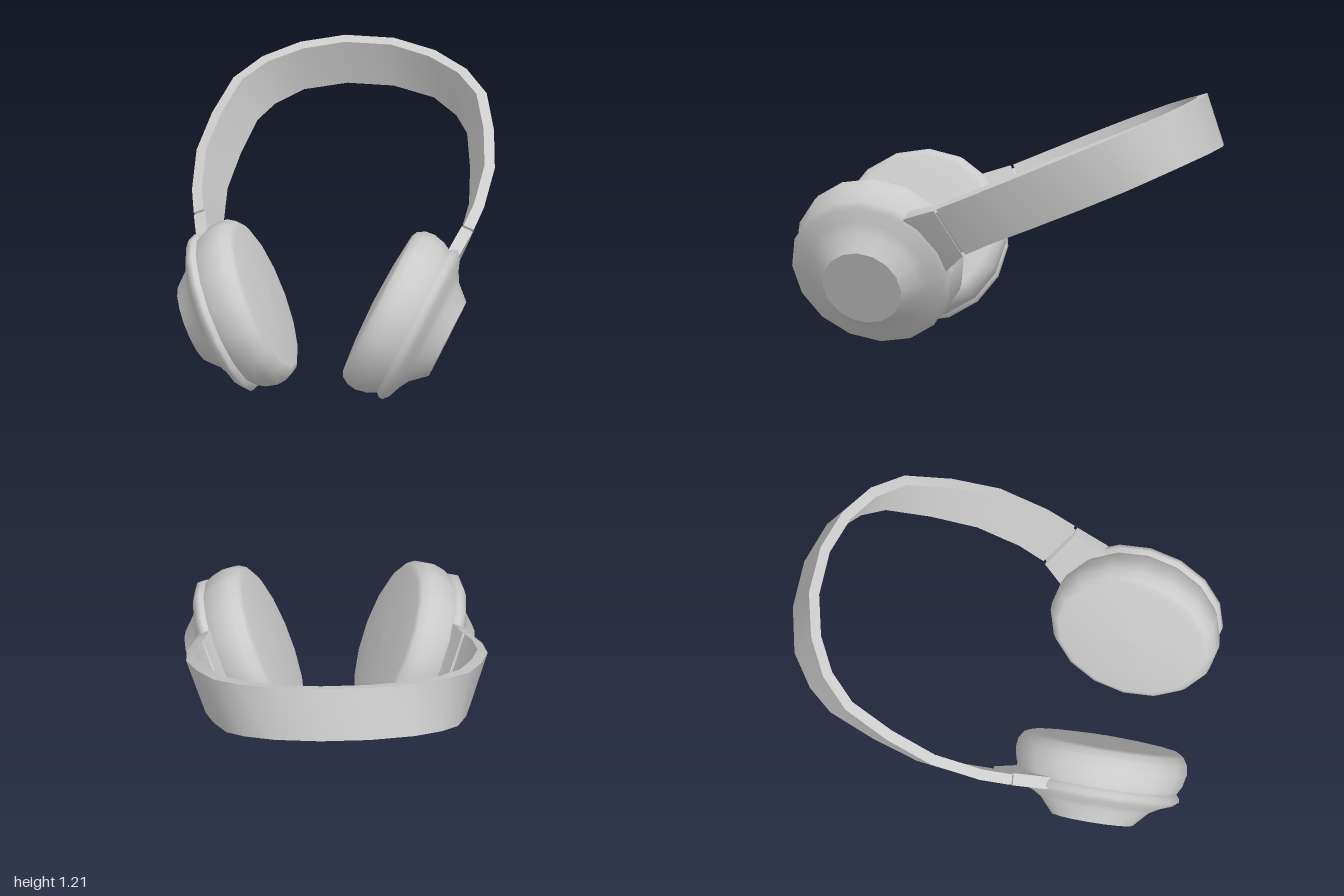
import * as THREE from 'three';
import { toCreasedNormals } from 'three/addons/utils/BufferGeometryUtils.js';

const material = new THREE.MeshStandardMaterial({ color: 0xcccccc });
const V = (p) => new THREE.Vector3(...p);

function add(parent, name, geometry) {
  const mesh = new THREE.Mesh(geometry, material);
  mesh.name = name;
  parent.add(mesh);
  return mesh;
}

// Four-cornered sections joined into a closed strap with sharp long edges
function loft(sections) {
  const pos = [];
  const tri = (...pts) => pts.forEach((p) => pos.push(p.x, p.y, p.z));
  for (let i = 0; i < sections.length - 1; i++) {
    const a = sections[i], b = sections[i + 1];
    for (let j = 0; j < 4; j++) {
      const k = (j + 1) % 4;
      tri(a[j], a[k], b[k]);
      tri(a[j], b[k], b[j]);
    }
  }
  const s = sections[0], e = sections[sections.length - 1];
  tri(s[0], s[2], s[1]); tri(s[0], s[3], s[2]);
  tri(e[0], e[1], e[2]); tri(e[0], e[2], e[3]);
  const g = new THREE.BufferGeometry();
  g.setAttribute('position', new THREE.Float32BufferAttribute(pos, 3));
  return toCreasedNormals(g, 0.65);
}

// Give outer upper/lower edge points a thickness towards the inside
function thicken(upper, lower, depth) {
  const last = upper.length - 1;
  return upper.map((u, i) => {
    const lo = lower[i];
    const p = Math.max(i - 1, 0), q = Math.min(i + 1, last);
    const travel = upper[q].clone().add(lower[q]).sub(upper[p]).sub(lower[p]);
    const inward = u.clone().sub(lo).cross(travel).normalize().multiplyScalar(depth);
    return [u, lo, lo.clone().add(inward), u.clone().add(inward)];
  });
}

const flip = (p) => new THREE.Vector3(-p.x, p.y, p.z);
const mirrored = (sections) => sections.map((s) => s.map(flip)).reverse();

// Section shrunk about its centre, used for the recessed joint
function shrink(section, k) {
  const c = new THREE.Vector3();
  section.forEach((p) => c.addScaledVector(p, 0.25));
  return section.map((p) => c.clone().lerp(p, k));
}

export function createModel() {
  const model = new THREE.Group();
  model.name = 'headphones';

  // Headband: outer edges of one half, from the side joint to the back
  const halfUpper = [
    [0.685, 0.72, 0.21], [0.715, 0.78, 0.07], [0.73, 0.885, -0.17], [0.69, 0.985, -0.4],
    [0.62, 1.08, -0.62], [0.5, 1.14, -0.76], [0.33, 1.185, -0.86], [0.12, 1.21, -0.92],
  ].map(V);
  const halfLower = [
    [0.595, 0.49, 0.09], [0.625, 0.55, -0.04], [0.64, 0.64, -0.26], [0.61, 0.735, -0.49],
    [0.56, 0.83, -0.71], [0.48, 0.885, -0.83], [0.34, 0.935, -0.94], [0.12, 0.96, -1.0],
  ].map(V);
  const whole = (half) => [...half, ...half.map(flip).reverse()];
  const band = thicken(whole(halfUpper), whole(halfLower), 0.052);
  add(model, 'headband', loft(band));

  // Arms that taper from the headband onto the ear cups, with a thin joint
  const arm = thicken(
    [[0.63, 0.635, 0.41], [0.645, 0.66, 0.38], [0.682, 0.712, 0.225]].map(V),
    [[0.5, 0.36, 0.2], [0.525, 0.395, 0.205], [0.588, 0.482, 0.105]].map(V), 0.06);
  const joint = [arm[2], band[0]].map((s) => shrink(s, 0.88));

  // Ear cup profiles: [radius, distance along the cup axis]
  const lathe = (pts) => new THREE.LatheGeometry(pts.map((p) => new THREE.Vector2(...p)), 16);
  const cushion = lathe([
    [0, 0.033], [0.2, 0.04], [0.365, 0.055], [0.392, 0.068], [0.415, 0.105],
    [0.421, 0.15], [0.408, 0.21], [0.386, 0.25],
  ]);
  const shell = lathe([
    [0.386, 0.25], [0.402, 0.268], [0.404, 0.287], [0.375, 0.311],
    [0.315, 0.335], [0.267, 0.363], [0.2, 0.436],
  ]);
  const cap = lathe([[0.2, 0.436], [0, 0.436]]);

  for (const side of [1, -1]) {
    const label = side > 0 ? 'left' : 'right';
    const place = (s) => (side > 0 ? s : mirrored(s));
    add(model, label + 'Arm', loft(place(arm)));
    add(model, label + 'Joint', loft(place(joint)));

    // Tilted cup: local y points outwards and slightly down
    const cup = new THREE.Group();
    cup.name = label + 'EarCup';
    const y = new THREE.Vector3(side * 0.91, -0.415, 0.05).normalize();
    const x = new THREE.Vector3().crossVectors(y, new THREE.Vector3(0, 0, 1)).normalize();
    const z = new THREE.Vector3().crossVectors(x, y);
    cup.quaternion.setFromRotationMatrix(new THREE.Matrix4().makeBasis(x, y, z));
    cup.position.set(side * 0.223, 0.489, 0.582);
    add(cup, 'cushion', cushion);
    add(cup, 'shell', shell);
    add(cup, 'outerCap', cap);
    model.add(cup);
  }
  return model;
}
